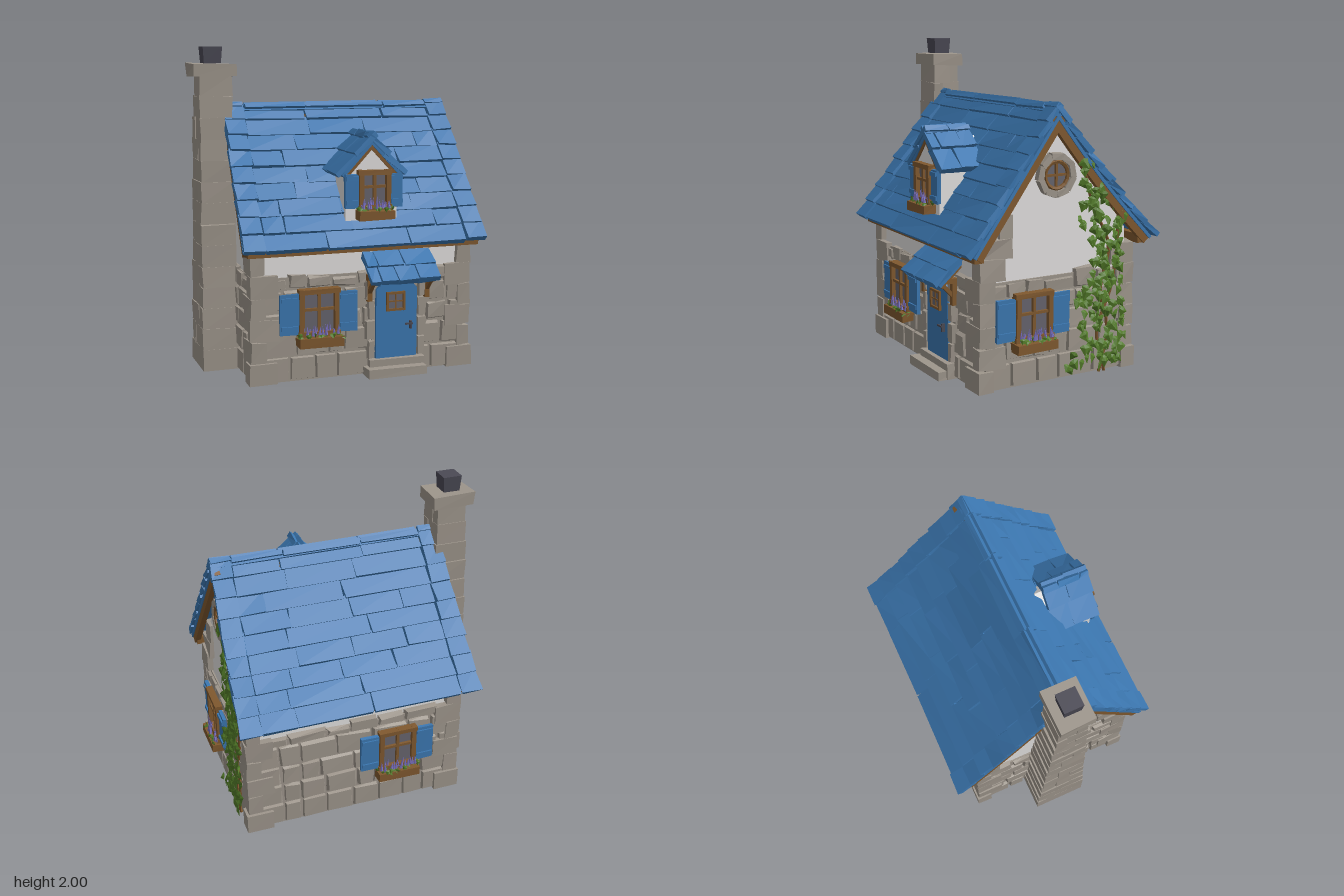
import * as THREE from 'three';
import { mergeGeometries } from 'three/addons/utils/BufferGeometryUtils.js';

const mat = (name, color, side = THREE.FrontSide) => new THREE.MeshStandardMaterial({ name, color, side });
const M = {
  blue: mat('blue paint', 0x3c78b2),
  stone: mat('stone', 0x9e968c),
  plaster: mat('plaster', 0xe4e2e1),
  wood: mat('wood', 0x80592f),
  green: mat('leaf green', 0x527a28, THREE.DoubleSide),
  purple: mat('flower purple', 0x7a70bd),
  dark: mat('dark iron', 0x4b4a55),
  glass: mat('window glass', 0x67656e, THREE.DoubleSide),
};

let seed = 7;
const rnd = (a = 0, b = 1) => {
  seed = (seed * 16807) % 2147483647;
  return a + (b - a) * (seed / 2147483647);
};

// Flat-shaded mesh merged from several geometries
function mesh(name, material, geos) {
  const flat = geos.map(g => {
    const n = g.index ? g.toNonIndexed() : g;
    n.deleteAttribute('uv');
    return n;
  });
  const g = mergeGeometries(flat);
  g.computeVertexNormals();
  const m = new THREE.Mesh(g, material);
  m.name = name;
  return m;
}

function group(name, children, x = 0, y = 0, z = 0, ry = 0) {
  const g = new THREE.Group();
  g.name = name;
  g.add(...children);
  g.position.set(x, y, z);
  g.rotation.y = ry;
  return g;
}

// Box with jittered corners; taper shrinks the +z face into a bevel
function block(w, h, d, x, y, z, j = 0, taper = 0) {
  const g = new THREE.BoxGeometry(w, h, d), p = g.attributes.position;
  const off = Array.from({ length: 8 }, () => [rnd(-j, j), rnd(-j, j), rnd(-j, j) * 0.5]);
  for (let i = 0; i < p.count; i++) {
    const sx = Math.sign(p.getX(i)), sy = Math.sign(p.getY(i)), sz = Math.sign(p.getZ(i));
    const o = off[(sx > 0 ? 1 : 0) + (sy > 0 ? 2 : 0) + (sz > 0 ? 4 : 0)], t = sz > 0 ? taper : 0;
    p.setXYZ(i, p.getX(i) - sx * t + o[0], p.getY(i) - sy * t + o[1], p.getZ(i) + o[2]);
  }
  return g.translate(x, y, z);
}

// Prism from [x, y] points, extruded along +z
function prism(pts, depth) {
  const s = new THREE.Shape(pts.map(p => new THREE.Vector2(...p)));
  return new THREE.ExtrudeGeometry(s, { depth, bevelEnabled: false });
}

// Lobed leaf with its tip pointing down
function leaf(size) {
  const r = [1.4, 0.75, 1.05, 0.75, 0.75, 1.05, 0.75];
  const g = new THREE.CircleGeometry(size, 7, -Math.PI / 2), p = g.attributes.position;
  p.setZ(0, size * 0.35);
  for (let i = 1; i < p.count; i++) {
    const k = r[(i - 1) % 7];
    p.setXY(i, p.getX(i) * k, p.getY(i) * k);
  }
  return g;
}

// Irregular courses of stones on a wall facing +z
function stoneWall(width, height) {
  const geos = [];
  for (let y = 0; y < height - 0.03;) {
    const h = Math.min(rnd(0.1, 0.16), height - y);
    for (let x = -width / 2; x < width / 2 - 0.03;) {
      let w = Math.min(rnd(0.1, 0.26), width / 2 - x);
      if (width / 2 - x - w < 0.07) w = width / 2 - x;
      const hh = h + (y + h > height - 0.05 ? rnd(-0.03, 0.025) : 0);
      geos.push(block(w - 0.006, hh - 0.006, 0.035, x + w / 2, y + hh / 2 + 0.003, 0, y ? 0.009 : 0.003, 0.01));
      x += w;
    }
    y += h;
  }
  return mesh('stones', M.stone, geos);
}

// Shingled slope: starts at its ridge and falls towards local +z
function slope(name, o) {
  const { half, run, rise, rows, cols, trim = 0, sag = 0, flare = 0, board = 0.05 } = o;
  const L = Math.hypot(run, rise), step = L / rows, t = 0.035;
  const deck = new THREE.BoxGeometry(half * 2 - 0.02, 0.02, L - 0.02, 1, 1, 8).translate(0, -0.045, L / 2);
  const tiles = [deck], boards = [];
  const tile = (x0, x1, r, lift) => {
    const g = block(x1 - x0 - 0.005, t, step + 0.02, 0, 0, 0, 0.007).rotateX(-0.12);
    tiles.push(g.translate((x0 + x1) / 2, lift - 0.022, (r + 0.5) * step));
  };
  for (let r = 0; r < rows; r++) {
    const a = half - trim, w = 2 * a / cols;
    let x = -a;
    for (let c = 0; x < a - 0.01; c++) {
      let nx = Math.min(a, x + w * (c === 0 ? rnd(0.3, 1) : rnd(0.75, 1.3)));
      if (a - nx < w * 0.3) nx = a;
      tile(x, nx, r, rnd(-0.003, 0.003));
      x = nx;
    }
    if (trim) for (const s of [-1, 1]) tile(s > 0 ? a : -half, s > 0 ? half : -a, r, 0.014);
  }
  for (const s of [-1, 1]) {
    boards.push(new THREE.BoxGeometry(0.035, board, L - 0.03, 1, 1, 8).translate(s * (half - 0.035), -0.05 - board / 2, L / 2));
  }
  const parts = [mesh('shingles', M.blue, tiles), mesh('bargeBoards', M.wood, boards)];
  for (const m of parts) {
    const p = m.geometry.attributes.position;
    for (let i = 0; i < p.count; i++) {
      const k = p.getZ(i) / L;
      p.setX(i, p.getX(i) * (1 + flare * k));
      p.setY(i, p.getY(i) - sag * Math.sin(Math.PI * Math.min(1, Math.max(0, k))));
    }
    m.geometry.computeVertexNormals();
  }
  const g = group(name, parts, ...o.at);
  g.rotation.set(Math.atan2(rise, run), o.yaw || 0, 0, 'YXZ');
  return g;
}

// Shuttered window with a planted flower box, facing +z
function windowUnit(name, w, h, sw, x, y, z, ry = 0) {
  const b = 0.03, frame = [], shutters = [], leaves = [], blooms = [];
  for (const s of [-1, 1]) {
    frame.push(block(b, h, 0.05, s * (w - b) / 2, 0, 0.025, 0.003), block(w + 0.01, b, 0.055, 0, s * (h - b) / 2, 0.026, 0.003));
    shutters.push(block(sw, h - 0.04, 0.025, s * (w + sw) / 2, -0.005, 0.022, 0.004));
    for (const k of [-1, 1]) shutters.push(block(sw - 0.01, 0.025, 0.012, s * (w + sw) / 2, k * h * 0.3, 0.038));
  }
  frame.push(block(0.018, h, 0.03, 0, 0, 0.025), block(w, 0.016, 0.03, 0, 0.02, 0.025));
  const boxY = -h / 2 - 0.03, boxW = w + 0.03;
  frame.push(block(boxW, 0.055, 0.08, 0, boxY, 0.05, 0.004));
  for (let i = 0; i < 26; i++) {
    const lx = rnd(-0.5, 0.5) * boxW;
    leaves.push(leaf(0.017).rotateX(rnd(-1.2, 0.4)).rotateY(rnd(-1, 1)).translate(lx, boxY + rnd(0.025, 0.05), rnd(0.02, 0.09)));
  }
  for (let i = 0; i < 15; i++) {
    const fx = (i / 14 - 0.5) * (boxW - 0.05), fh = rnd(0.045, 0.075);
    blooms.push(new THREE.ConeGeometry(0.011, fh, 5).rotateZ(rnd(-0.2, 0.2)).translate(fx, boxY + 0.04 + fh / 2, rnd(0.035, 0.075)));
  }
  return group(name, [
    mesh('windowFrameAndBox', M.wood, frame), mesh('shutters', M.blue, shutters),
    mesh('panes', M.glass, [block(w - 0.02, h - 0.02, 0.008, 0, 0, 0.018)]),
    mesh('foliage', M.green, leaves), mesh('flowers', M.purple, blooms),
  ], x, y, z, ry);
}

function chimney() {
  const stones = [], n = 14, top = 1.83;
  for (let i = 0; i < n; i++) {
    const k = i / (n - 1), h = top / n, y = (i + 0.5) * h;
    const z0 = -0.19 + 0.1 * k, z1 = 0.15 - 0.06 * k, x0 = -0.84 + 0.015 * k, x1 = -0.615 - 0.01 * k;
    const cut = z0 + (z1 - z0) * (i % 2 ? 0.35 : 0.65), j = i ? 0.006 : 0;
    stones.push(block(x1 - x0, h + 0.004, cut - z0, (x0 + x1) / 2, y, (z0 + cut) / 2, j));
    stones.push(block(x1 - x0, h + 0.004, z1 - cut, (x0 + x1) / 2, y, (z1 + cut) / 2, j));
  }
  stones.push(block(0.275, 0.08, 0.22, -0.73, 1.86, 0, 0.006));
  const pot = new THREE.CylinderGeometry(0.085, 0.075, 0.1, 4).rotateY(Math.PI / 4).translate(-0.735, 1.95, 0);
  return group('chimney', [mesh('chimneyStones', M.stone, stones), mesh('chimneyPot', M.dark, [pot])]);
}

function door() {
  const panel = prism([[-0.135, 0.1], [0.135, 0.1], [0.135, 0.53], [0.1, 0.57], [-0.1, 0.57], [-0.135, 0.53]], 0.02);
  const surround = [block(0.36, 0.1, 0.08, 0, 0.05, 0.01, 0.005), block(0.38, 0.055, 0.15, -0.02, 0.0275, 0.03, 0.003)];
  for (const s of [-1, 1]) for (let i = 0; i < 4; i++) {
    const w = i % 2 ? 0.065 : 0.05;
    surround.push(block(w, 0.12, 0.05, s * (0.14 + w / 2), 0.16 + i * 0.125, 0, 0.005, 0.006));
  }
  const trim = [];
  for (const s of [-1, 1]) {
    trim.push(block(0.014, 0.12, 0.02, s * 0.055 - 0.01, 0.455, 0.025), block(0.12, 0.014, 0.02, -0.01, 0.455 + s * 0.052, 0.025));
  }
  trim.push(block(0.008, 0.1, 0.012, -0.01, 0.455, 0.024), block(0.1, 0.008, 0.012, -0.01, 0.455, 0.024));
  return group('door', [
    mesh('doorPanel', M.blue, [panel]), mesh('doorSurroundAndSteps', M.stone, surround), mesh('doorWindowFrame', M.wood, trim),
    mesh('doorPane', M.glass, [block(0.11, 0.1, 0.006, -0.01, 0.455, 0.021)]),
    mesh('handle', M.dark, [block(0.012, 0.05, 0.02, 0.09, 0.3, 0.03), block(0.05, 0.01, 0.012, 0.075, 0.31, 0.042)]),
  ], 0.285, 0, 0.53);
}

function awning() {
  const braces = [];
  for (const s of [-1, 1]) {
    const x = s * 0.19;
    braces.push(block(0.03, 0.15, 0.03, x, 0.54, 0.545), block(0.03, 0.03, 0.13, x, 0.615, 0.59));
    braces.push(block(0.024, 0.15, 0.024, 0, 0, 0).rotateX(0.75).translate(x, 0.565, 0.59));
  }
  return group('awning', [
    slope('awningRoof', { half: 0.225, run: 0.17, rise: 0.15, rows: 2, cols: 3, board: 0.02, at: [0, 0.77, 0.515] }),
    mesh('awningBraces', M.wood, braces),
  ], 0.295);
}

function dormer() {
  const wall = prism([[-0.165, 0.93], [0.165, 0.93], [0.165, 1.24], [0, 1.42], [-0.165, 1.24]], 0.33).translate(0, 0, 0.2);
  const o = { half: 0.155, run: 0.225, rise: 0.24, rows: 2, cols: 2, board: 0.025, at: [0, 1.5, 0.4] };
  return group('dormer', [
    mesh('dormerWall', M.plaster, [wall]),
    slope('dormerRoofLeft', { ...o, yaw: Math.PI / 2 }), slope('dormerRoofRight', { ...o, yaw: -Math.PI / 2 }),
    windowUnit('dormerWindow', 0.2, 0.24, 0.085, 0.01, 1.15, 0.525),
  ], 0.12);
}

function roundWindow() {
  const ring = [];
  for (let i = 0; i < 9; i++) ring.push(block(0.088, 0.045, 0.05, 0, 0.108, 0.01, 0.004, 0.004).rotateZ(i * Math.PI * 2 / 9));
  return group('roundWindow', [
    mesh('stoneRing', M.stone, ring),
    mesh('woodRing', M.wood, [new THREE.TorusGeometry(0.08, 0.013, 5, 16).translate(0, 0, 0.02),
      block(0.014, 0.15, 0.016, 0, 0, 0.015), block(0.15, 0.014, 0.016, 0, 0, 0.015)]),
    mesh('roundPane', M.glass, [new THREE.CircleGeometry(0.085, 16).translate(0, 0, 0.01)]),
  ], 0.752, 1.24, 0.015, Math.PI / 2);
}

// Climbing ivy: rows give height and the z span of the leaves
function ivy() {
  const rows = [[0.02, -0.48, -0.06], [0.1, -0.42, 0.02], [0.2, -0.47, -0.2], [0.35, -0.47, -0.1], [0.5, -0.43, -0.1], [0.6, -0.44, -0.22],
    [0.8, -0.44, -0.24], [0.9, -0.47, -0.14], [1, -0.46, -0.12], [1.1, -0.32, -0.16], [1.2, -0.26, -0.14], [1.35, -0.18, -0.14]];
  const leaves = [];
  for (let i = 0; i < 250; i++) {
    const y = rnd(0.03, 1.35), k = Math.max(1, rows.findIndex(r => r[0] >= y)), a = rows[k - 1], b = rows[k];
    const t = (y - a[0]) / (b[0] - a[0]), lo = a[1] + (b[1] - a[1]) * t, hi = a[2] + (b[2] - a[2]) * t;
    if (rnd() > 0.35 + (hi - lo) * 1.8) continue;
    leaves.push(leaf(rnd(0.025, 0.036)).rotateZ(rnd(-0.7, 0.7)).rotateX(rnd(-0.5, 0.2)).rotateY(Math.PI / 2 + rnd(-0.6, 0.6))
      .translate(rnd(0.795, 0.825), Math.max(y, 0.045), rnd(lo, hi)));
  }
  const stem = zs => new THREE.TubeGeometry(new THREE.CatmullRomCurve3(
    zs.map((z, i) => new THREE.Vector3(0.785, i * 0.26, z))), 16, 0.01, 5);
  return group('ivy', [mesh('ivyLeaves', M.green, leaves),
    mesh('ivyStems', M.wood, [stem([-0.3, -0.36, -0.3, -0.36, -0.24, -0.16]), stem([-0.34, -0.28, -0.38, -0.42, -0.43])])]);
}

export function createModel() {
  const model = new THREE.Group();
  model.name = 'cottage';

  // Plaster core with gables, and the stone lower storey
  const gable = prism([[0.5, 0], [0.5, 0.86], [-0.02, 1.53], [-0.5, 0.88], [-0.5, 0]].map(([z, y]) => [-z, y]).reverse(), 1.35);
  gable.rotateY(Math.PI / 2).translate(-0.6, 0, 0);
  model.add(mesh('plasterWalls', M.plaster, [gable]));
  model.add(mesh('stoneBase', M.stone, [block(1.37, 0.64, 1.03, 0.075, 0.32, -0.005)]));
  model.add(group('frontWall', [stoneWall(1.36, 0.65)], 0.075, 0, 0.512));
  model.add(group('backWall', [stoneWall(1.36, 0.65)], 0.075, 0, -0.522, Math.PI));
  model.add(group('rightGableWall', [stoneWall(1.02, 0.65)], 0.762, 0, -0.005, Math.PI / 2));
  model.add(group('leftGableWall', [stoneWall(1.02, 0.65)], -0.612, 0, -0.005, -Math.PI / 2));

  // Alternating corner stones
  const quoins = [];
  for (const sx of [-1, 1]) for (const sz of [-1, 1]) for (let i = 0; i < 6; i++) {
    const w = i % 2 ? 0.09 : 0.17, d = i % 2 ? 0.17 : 0.1, e = i ? 0 : 0.012;
    quoins.push(block(w, 0.128, d, 0.075 + sx * (0.712 + e - w / 2), 0.066 + i * 0.132, -0.005 + sz * (0.542 + e - d / 2), i ? 0.007 : 0.002));
  }
  for (const x of [0.73, -0.58]) {
    quoins.push(block(0.09, 0.11, 0.19, x, 0.84, 0.41, 0.008), block(0.09, 0.14, 0.09, x, 0.965, 0.355, 0.008));
  }
  model.add(mesh('cornerStones', M.stone, quoins));

  // Main roof and its beams
  const roof = { half: 0.74, rise: 0.82, cols: 3, rows: 9, trim: 0.13, flare: 0.05, at: [0.07, 1.655, 0.02] };
  model.add(slope('frontRoof', { ...roof, run: 0.615 }));
  model.add(slope('backRoof', { ...roof, run: 0.7, yaw: Math.PI, sag: 0.02 }));
  model.add(mesh('roofBeams', M.wood, [
    block(1.48, 0.055, 0.06, 0.075, 0.81, 0.555), block(1.48, 0.055, 0.06, 0.075, 0.81, -0.585),
    block(1.42, 0.1, 0.07, 0.07, 1.53, 0.02),
  ]));

  model.add(chimney(), door(), awning(), dormer(), roundWindow(), ivy());
  model.add(windowUnit('frontWindow', 0.25, 0.29, 0.12, -0.22, 0.425, 0.525));
  model.add(windowUnit('backWindow', 0.25, 0.29, 0.12, -0.2, 0.425, -0.535, Math.PI));
  model.add(windowUnit('sideWindow', 0.25, 0.29, 0.125, 0.772, 0.425, 0.185, Math.PI / 2));
  return model;
}
